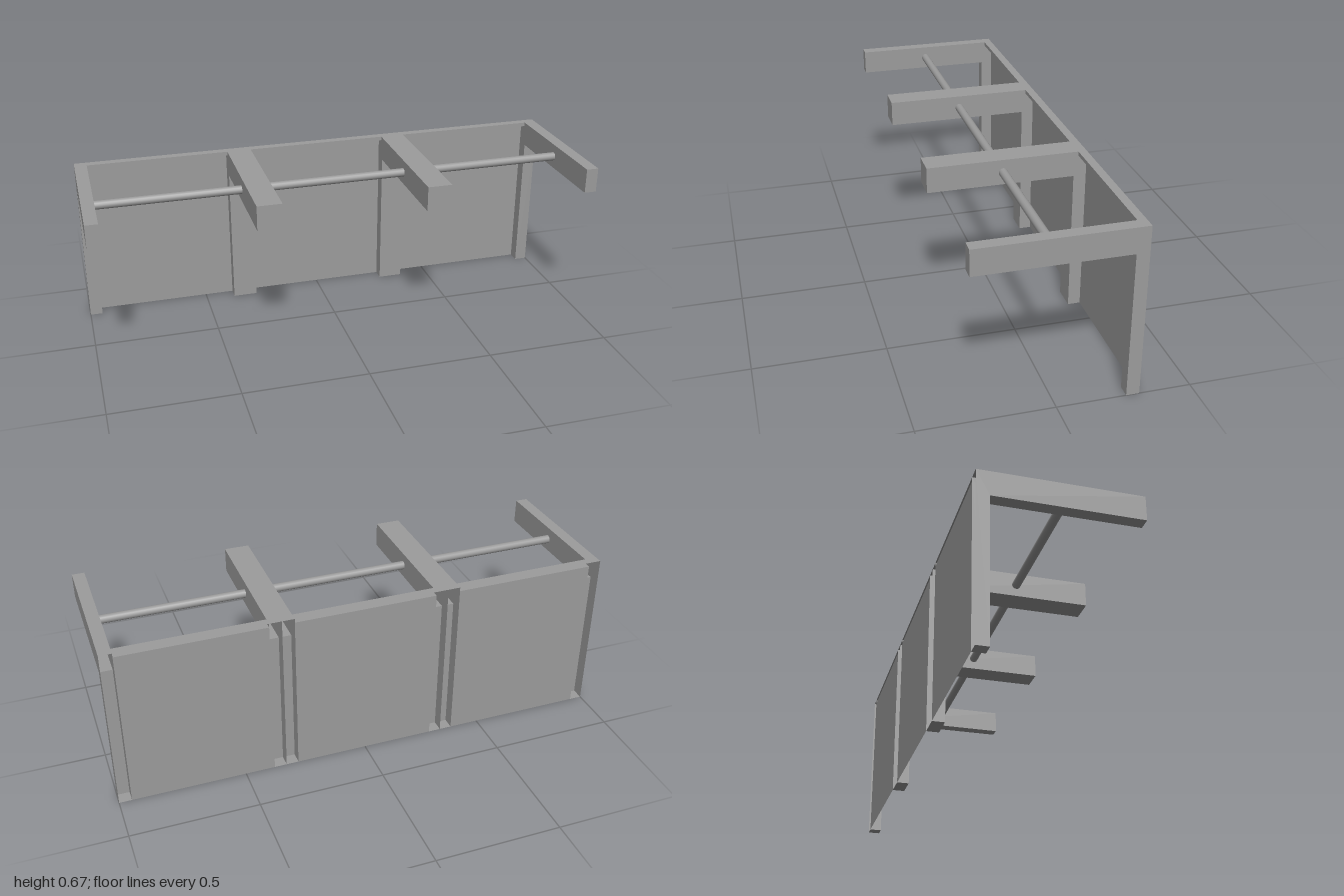
import * as THREE from 'three';

const BACK = -0.307, FRONT = 0.307, TOP = 0.667;
const BAY = 2 / 3, POST_W = 0.049, POST_D = 0.049, ARM_H = 0.099;
const INNER = BAY - 2 * POST_W;
const RAIL_H = 0.016, RAIL_D = 0.033;

const material = new THREE.MeshStandardMaterial({ color: 0x9c9c9c, side: THREE.DoubleSide });

function add(parent, name, geometry, x = 0, y = 0, z = 0) {
  const mesh = new THREE.Mesh(geometry, material);
  mesh.name = name;
  mesh.position.set(x, y, z);
  parent.add(mesh);
}

// Removes the triangles lying in the plane z = back, leaving an open shell
function openBack(geometry, back) {
  const source = geometry.index ? geometry.toNonIndexed() : geometry;
  const p = source.attributes.position;
  const kept = [];
  for (let i = 0; i < p.count; i += 3) {
    const corners = [i, i + 1, i + 2];
    if (corners.every((k) => Math.abs(p.getZ(k) - back) < 1e-4)) continue;
    for (const k of corners) kept.push(p.getX(k), p.getY(k), p.getZ(k));
  }
  const shell = new THREE.BufferGeometry();
  shell.setAttribute('position', new THREE.Float32BufferAttribute(kept, 3));
  shell.computeVertexNormals();
  return shell;
}

// Post and overhead arm as one hollow L, open at the back
function frameGeometry() {
  const outline = new THREE.Shape([
    [BACK, 0], [BACK + POST_D, 0], [BACK + POST_D, TOP - ARM_H],
    [FRONT, TOP - ARM_H], [FRONT, TOP], [BACK, TOP],
  ].map(([z, y]) => new THREE.Vector2(z, y)));
  const g = new THREE.ExtrudeGeometry(outline, { depth: POST_W, bevelEnabled: false });
  g.rotateY(-Math.PI / 2).translate(POST_W / 2, 0, 0);
  return openBack(g, BACK);
}

export function createModel() {
  const model = new THREE.Group();
  model.name = 'openBays';

  const frame = frameGeometry();
  const rail = openBack(new THREE.BoxGeometry(INNER, RAIL_H, RAIL_D), -RAIL_D / 2);
  const panel = new THREE.PlaneGeometry(INNER, TOP - RAIL_H);
  const rod = new THREE.CylinderGeometry(0.017, 0.017, INNER, 16, 1, true).rotateZ(Math.PI / 2);

  // Three identical bays side by side
  for (let i = -1; i <= 1; i++) {
    const bay = new THREE.Group();
    bay.name = 'bay';
    bay.position.x = i * BAY;
    for (const side of [-1, 1]) {
      add(bay, side < 0 ? 'rightFrame' : 'leftFrame', frame, side * (BAY - POST_W) / 2);
    }
    add(bay, 'backPanel', panel, 0, (TOP - RAIL_H) / 2, BACK);
    add(bay, 'topRail', rail, 0, TOP - RAIL_H / 2, BACK + RAIL_D / 2);
    add(bay, 'hangingRod', rod, 0, 0.617, 0.018);
    model.add(bay);
  }
  return model;
}
